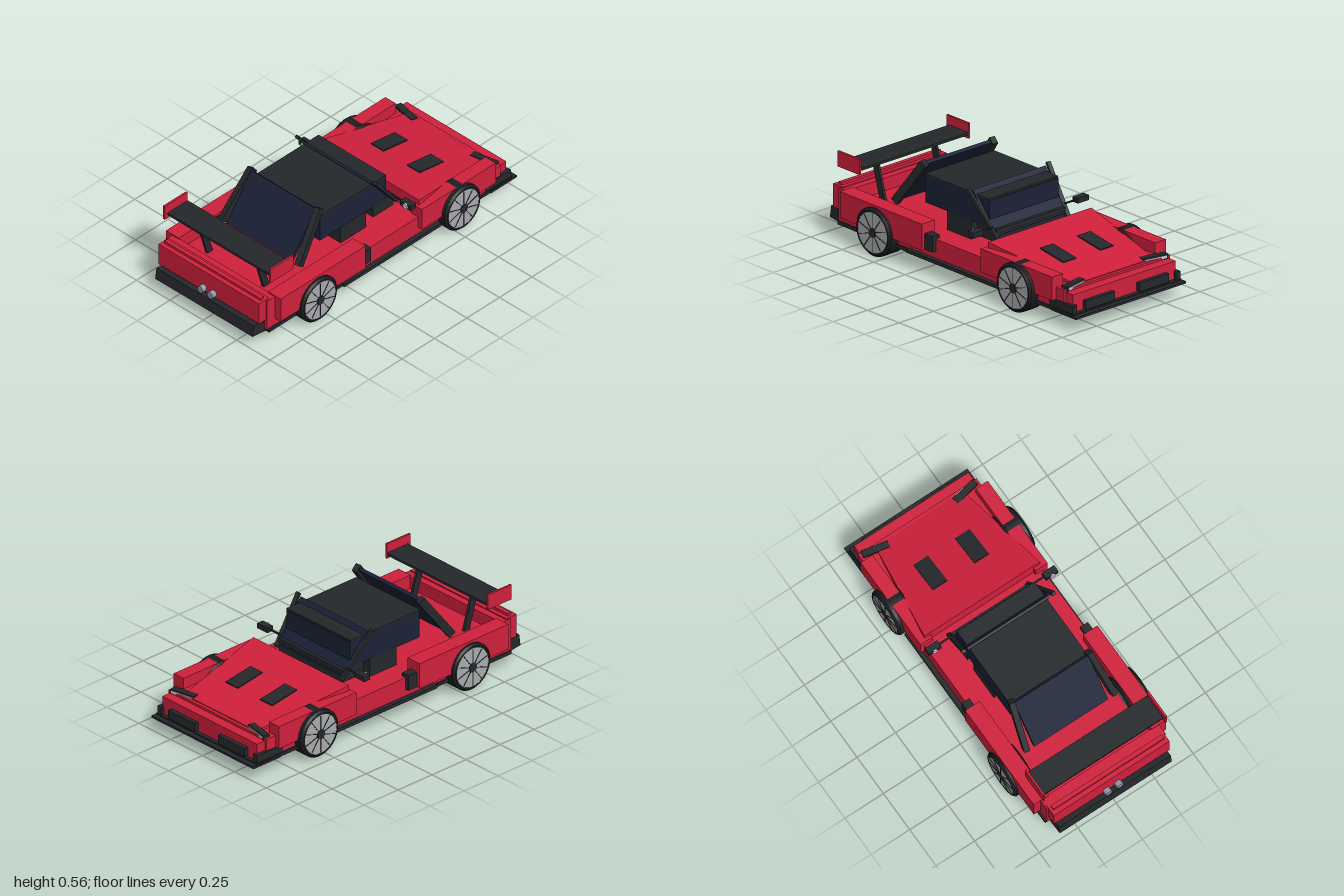
import * as THREE from 'three';

const mat = (color) => new THREE.MeshStandardMaterial({ color });
const red = mat(0xd0203c), black = mat(0x25282b), glass = mat(0x1b2237);
const tyreMat = mat(0x1c1e20), rimMat = mat(0xa9abae), steel = mat(0x8d95a4), lens = mat(0xd4dade);

export function createModel() {
  const car = new THREE.Group();
  car.name = 'car';

  const add = (name, geometry, material, parent = car) => {
    const mesh = new THREE.Mesh(geometry, material);
    mesh.name = name;
    parent.add(mesh);
    return mesh;
  };
  // Box from its lower and upper bounds on each axis
  const box = (name, material, x0, x1, y0, y1, z0, z1) => {
    const mesh = add(name, new THREE.BoxGeometry(Math.abs(x1 - x0), y1 - y0, z1 - z0), material);
    mesh.position.set((x0 + x1) / 2, (y0 + y1) / 2, (z0 + z1) / 2);
    return mesh;
  };
  const wide = (name, material, half, ...rest) => box(name, material, -half, half, ...rest);
  // Bar running from a to b
  const beam = (name, material, a, b, width, depth) => {
    const p = new THREE.Vector3(...a), q = new THREE.Vector3(...b);
    const mesh = add(name, new THREE.BoxGeometry(width, depth, p.distanceTo(q)), material);
    mesh.position.copy(p).lerp(q, 0.5);
    mesh.lookAt(q);
    return mesh;
  };

  // Floor and main body
  wide('floor', black, 0.395, 0.075, 0.095, -0.97, 0.9);
  wide('splitter', black, 0.4, 0.075, 0.088, -1, -0.8);
  wide('sills', black, 0.412, 0.08, 0.1, -0.41, 0.34);
  wide('mainBody', red, 0.385, 0.09, 0.21, -0.89, 0.9);

  // Nose
  wide('nose', red, 0.372, 0.095, 0.197, -0.947, -0.85);

  // Bonnet, falling and narrowing towards the nose
  const bonnet = new THREE.BoxGeometry(2, 1, 1);
  const p = bonnet.attributes.position;
  for (let i = 0; i < p.count; i++) {
    const front = p.getZ(i) < 0;
    p.setXYZ(i, p.getX(i) * (front ? 0.285 : 0.375),
      p.getY(i) < 0 ? 0.18 : (front ? 0.215 : 0.308), front ? -0.87 : -0.275);
  }
  bonnet.computeVertexNormals();
  add('bonnet', bonnet, red);

  // Tail
  wide('rearBody', red, 0.385, 0.09, 0.283, 0.84, 0.905);
  wide('tailPanel', red, 0.376, 0.155, 0.29, 0.88, 0.957);
  wide('tailLip', red, 0.36, 0.285, 0.305, 0.905, 0.93);
  const diffuser = wide('diffuser', black, 0.364, 0.068, 0.137, 0.79, 0.992);
  diffuser.rotation.x = -0.14;
  for (const x of [-0.243, -0.082, 0.082, 0.243]) {
    const fin = box('diffuserFin', black, x - 0.005, x + 0.005, 0.06, 0.08, 0.8, 0.97);
    fin.rotation.x = -0.14;
  }

  // Cabin
  wide('cabinGlass', glass, 0.25, 0.32, 0.475, -0.15, 0.36);
  wide('roof', black, 0.252, 0.475, 0.486, -0.145, 0.365);
  wide('seatBlock', black, 0.245, 0.2, 0.322, 0, 0.195);
  wide('cowl', black, 0.25, 0.25, 0.325, -0.205, -0.05);
  beam('windscreen', glass, [0, 0.29, -0.205], [0, 0.505, -0.025], 0.53, 0.015);
  beam('rearWindow', glass, [0, 0.285, 0.565], [0, 0.54, 0.375], 0.48, 0.02);

  // Wing
  wide('wingPlane', black, 0.392, 0.434, 0.448, 0.72, 0.875);

  // Wheel, built with its axle along +x and its outer face at x = width / 2
  const makeWheel = (width) => {
    const wheel = new THREE.Group();
    wheel.name = 'wheel';
    const h = width / 2, r = 0.138;
    const profile = [[0, -h], [r - 0.012, -h], [r, -h + 0.012], [r, h - 0.012],
      [r - 0.012, h], [0.117, h], [0.113, h - 0.012], [0, h - 0.012]]
      .map(([a, b]) => new THREE.Vector2(a, b));
    const tyre = new THREE.LatheGeometry(profile, 40).toNonIndexed();
    tyre.computeVertexNormals();
    add('tyre', tyre, tyreMat, wheel).rotation.z = -Math.PI / 2;
    const disc = (name, radius, x, depth, material) => {
      const m = add(name, new THREE.CylinderGeometry(radius, radius, depth, 32), material, wheel);
      m.rotation.z = Math.PI / 2;
      m.position.x = x;
    };
    disc('rim', 0.116, h - 0.008, 0.014, rimMat);
    disc('innerRim', 0.105, -h, 0.006, rimMat);
    disc('hub', 0.027, h - 0.002, 0.012, black);
    for (let i = 0; i < 10; i++) {
      const a = i * Math.PI / 5;
      const groove = add('spokeGroove', new THREE.BoxGeometry(0.003, 0.085, 0.004), black, wheel);
      groove.position.set(h, Math.cos(a) * 0.068, Math.sin(a) * 0.068);
      groove.rotation.x = a;
    }
    return wheel;
  };

  // Paired parts
  for (const s of [-1, 1]) {
    const side = (name, material, x0, x1, ...rest) => box(name, material, s * x0, s * x1, ...rest);

    side('frontFender', red, 0.335, 0.413, 0.14, 0.275, -0.825, -0.257);
    side('rearFender', red, 0.335, 0.43, 0.138, 0.29, 0.193, 0.845);
    side('sideIntake', black, 0.36, 0.41, 0.14, 0.232, 0.13, 0.28);
    side('bumperCorner', black, 0.36, 0.39, 0.085, 0.14, -0.965, -0.775);
    side('noseIntake', black, 0.09, 0.3, 0.1, 0.15, -0.972, -0.93);

    // Bonnet vent lying on the slope
    const vent = side('bonnetVent', black, 0.088, 0.182, 0.259, 0.271, -0.66, -0.475);
    vent.rotation.x = -0.155;
    vent.position.y = 0.263;

    // Headlight
    const lamp = side('headlight', black, 0.215, 0.37, 0.195, 0.225, -0.88, -0.84);
    lamp.rotation.y = s * 0.2;
    const glow = add('headlightLens', new THREE.BoxGeometry(0.14, 0.014, 0.004), lens, lamp);
    glow.position.z = -0.021;

    // Roof supports
    beam('windscreenPillar', black, [s * 0.255, 0.275, -0.22], [s * 0.292, 0.52, -0.02], 0.024, 0.018);
    beam('rearButtress', black, [s * 0.285, 0.28, 0.56], [s * 0.25, 0.545, 0.365], 0.034, 0.046);

    // Mirror
    side('mirrorStalk', black, 0.26, 0.345, 0.332, 0.339, -0.19, -0.18);
    side('mirror', black, 0.34, 0.42, 0.32, 0.35, -0.205, -0.163);
    const face = add('mirrorFace', new THREE.CylinderGeometry(0.017, 0.017, 0.008, 24), lens);
    face.rotation.x = Math.PI / 2;
    face.position.set(s * 0.382, 0.335, -0.162);

    // Wing mounts and end plates
    side('wingEndPlate', red, 0.39, 0.402, 0.413, 0.502, 0.72, 0.895);
    beam('wingStrut', black, [s * 0.211, 0.2, 0.735], [s * 0.211, 0.438, 0.805], 0.016, 0.04);

    // Exhaust
    const pipe = add('exhaust', new THREE.CylinderGeometry(0.021, 0.021, 0.06, 24), steel);
    pipe.rotation.x = Math.PI / 2;
    pipe.position.set(s * 0.037, 0.18, 0.957);

    // Wheels
    for (const [z, inner, outer] of [[0.563, 0.32, 0.452], [-0.547, 0.325, 0.445]]) {
      const wheel = makeWheel(outer - inner);
      wheel.position.set(s * (inner + outer) / 2, 0.139, z);
      wheel.rotation.y = s > 0 ? 0 : Math.PI;
      car.add(wheel);
    }
  }
  return car;
}
